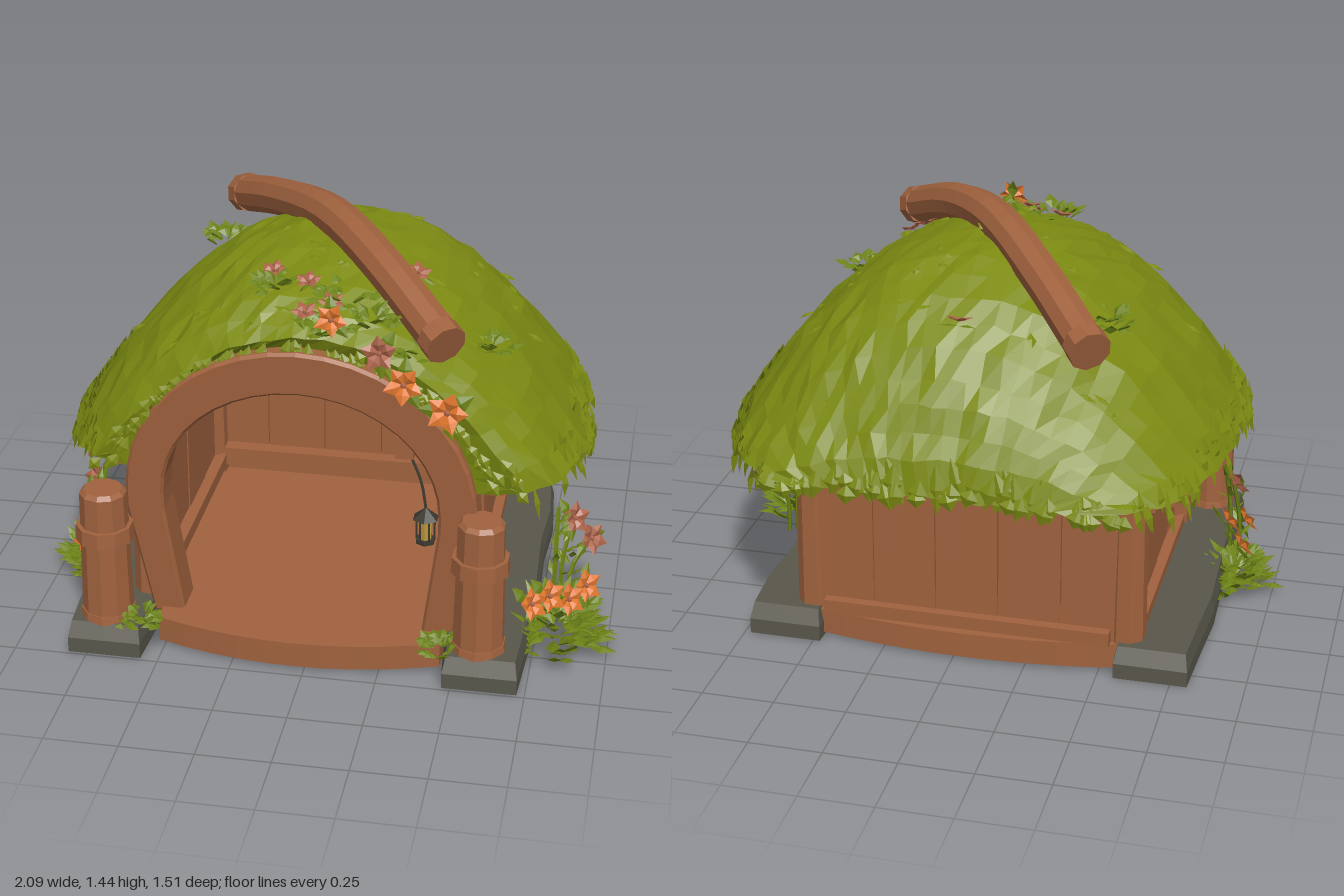
import * as THREE from 'three';

const mat = (name, color, side = THREE.DoubleSide) =>
  Object.assign(new THREE.MeshStandardMaterial({ color, side, flatShading: true }), { name });
const V = (x, y, z) => new THREE.Vector3(x, y, z);

export function createModel() {
  const model = new THREE.Group();
  const M = {
    wood: mat('wood', 0xa0623e), moss: mat('moss', 0x7c8a12), leaf: mat('leaf', 0x6c8216),
    stone: mat('stone', 0x59574b), orange: mat('orange petal', 0xe0762e),
    rose: mat('rose petal', 0xaa6248), iron: mat('iron', 0x3c3830), glow: mat('lantern glass', 0xc09a3a),
  };
  let seed = 7;
  const rnd = (a = 0, b = 1) => {
    seed = (seed * 16807) % 2147483647;
    return a + (b - a) * seed / 2147483647;
  };
  const add = (name, geo, m, x = 0, y = 0, z = 0, parent = model) => {
    const mesh = new THREE.Mesh(geo, m);
    mesh.name = name;
    mesh.position.set(x, y, z);
    parent.add(mesh);
    return mesh;
  };
  const box = (name, w, h, d, x, y, z, m = M.wood) => add(name, new THREE.BoxGeometry(w, h, d), m, x, y, z);
  const fromTriangles = (pts) => {
    const g = new THREE.BufferGeometry().setFromPoints(pts);
    g.computeVertexNormals();
    return g;
  };
  // surface through rows of points
  const skin = (rows) => {
    const t = [];
    for (let i = 0; i + 1 < rows.length; i++) for (let j = 0; j + 1 < rows[i].length; j++) {
      const a = rows[i][j], b = rows[i][j + 1], c = rows[i + 1][j + 1], d = rows[i + 1][j];
      t.push(a, b, c, a, c, d);
    }
    return fromTriangles(t);
  };
  // one folded leaf or petal
  const blade = (out, p, dir, nrm, len, w) => {
    dir = dir.clone().normalize();
    const side = dir.clone().cross(nrm).normalize().multiplyScalar(w);
    const up = side.clone().cross(dir).normalize().multiplyScalar(w * 0.4);
    const mid = p.clone().addScaledVector(dir, len * 0.5), tip = p.clone().addScaledVector(dir, len);
    const l = mid.clone().sub(side), r = mid.clone().add(side), c = mid.clone().add(up);
    out.push(p, r, c, p, c, l, c, r, tip, c, tip, l);
  };

  // ---- thatched roof: arched sections from front to back [z, half width, ridge height]
  const E = 0.68, N = 28;
  const sections = [[0.6, 0.72, 1.18], [0.52, 0.8, 1.24], [0.4, 0.85, 1.29], [0.2, 0.88, 1.33], [0, 0.87, 1.345],
    [-0.2, 0.86, 1.33], [-0.38, 0.82, 1.25], [-0.52, 0.77, 1.12], [-0.63, 0.7, 0.96], [-0.71, 0.62, 0.8], [-0.74, 0.5, E]];
  const roofPoint = (z, u, inset = 0) => {
    let k = 0;
    while (k < sections.length - 2 && sections[k + 1][0] > z) k++;
    const [a, b] = [sections[k], sections[k + 1]];
    const t = THREE.MathUtils.clamp((a[0] - z) / (a[0] - b[0]), 0, 1);
    const W = a[1] + (b[1] - a[1]) * t - inset, H = Math.max(E, a[2] + (b[2] - a[2]) * t - inset);
    return V(u * W, E + (H - E) * (1 - Math.abs(u) ** 2.1), z);
  };
  const cx = -0.035;
  const archPoint = (u, z) => {
    const a = Math.PI / 2 - u * 1.38;
    return V(cx + 0.6 * Math.cos(a), 0.54 + 0.585 * Math.sin(a), z);
  };
  const span = Array.from({ length: N + 1 }, (_, j) => j / N * 2 - 1);
  const shake = (p, s) => p.add(V(rnd(-s, s), rnd(-s, s), rnd(-s, s)));
  const zs = [0.6, 0.56, 0.52, 0.46, 0.4, 0.3, 0.2, 0.1, 0, -0.1, -0.2, -0.29, -0.38, -0.45, -0.52, -0.58, -0.63, -0.67, -0.71, -0.74];
  const rim = (row, s = 0.05) => [row[0].clone().add(V(s, 0.015, 0)), ...row, row[N].clone().add(V(-s, 0.015, 0))];
  const outer = zs.map(z => rim(span.map(u => shake(roofPoint(z, u), 0.009))));
  const frontLip = rim(span.map(u => archPoint(u, 0.57)), 0);
  const backLip = rim(span.map(u => V(u * 0.46, E + 0.02, -0.68)));
  add('mossRoof', skin([frontLip, ...outer, backLip]), M.moss);
  add('roofLining', skin([0.56, 0.4, 0.2, 0, -0.2, -0.38, -0.52, -0.6, -0.66, -0.7]
    .map(z => span.map(u => roofPoint(z, u, 0.05).add(V(0, 0.005, 0))).reverse())), M.wood);

  // leafy fringe round the eaves and over the arch, plus loose tufts
  const fringe = [];
  for (let i = 0; i < 150; i++) {
    const s = i % 2 ? 1 : -1, z = rnd(-0.73, 0.6);
    blade(fringe, roofPoint(z, s * rnd(0.9, 0.99)).add(V(s * 0.015, 0.01, 0)),
      V(s * rnd(0.1, 0.4), -1, rnd(-0.4, 0.4)), V(s, 0.4, 0), rnd(0.08, 0.13), rnd(0.02, 0.04));
  }
  for (let i = 0; i < 60; i++) {
    const p = roofPoint(rnd(-0.735, -0.7), rnd(-1, 1)).add(V(0, 0, -0.008));
    blade(fringe, p, V(rnd(-0.4, 0.4), -1, -0.1), V(0, 0.3, -1), Math.max(0.06, p.y - rnd(0.62, 0.67)), 0.035);
  }
  for (let i = 0; i < 90; i++) {
    const u = rnd(-1, 1), p = archPoint(u, 0.6).lerp(roofPoint(0.6, u), rnd(0.35, 1));
    blade(fringe, p, V(u * 0.8 + rnd(-0.3, 0.3), -0.8, 0.15), V(0, 0.2, 1), rnd(0.05, 0.09), 0.022);
  }
  for (let i = 0; i < 60; i++) {
    const u = rnd(-0.75, 0.75);
    blade(fringe, roofPoint(rnd(-0.6, 0.55), u).add(V(0, 0.004, 0)), V(u + rnd(-0.5, 0.5), 0.1 - Math.abs(u), rnd(-0.6, 0.6)),
      V(u, 1, 0), rnd(0.04, 0.08), 0.018);
  }
  add('roofFringe', fromTriangles(fringe), M.moss);

  // ---- bent ridge log with end caps
  const ridge = new THREE.CatmullRomCurve3([V(-0.45, 1.2, -0.59), V(-0.25, 1.3, -0.31), V(-0.01, 1.372, 0.03),
    V(0.2, 1.33, 0.32), V(0.43, 1.21, 0.6)]);
  add('ridgeLog', new THREE.TubeGeometry(ridge, 16, 0.068, 9), M.wood);
  for (const t of [0, 1]) {
    const cap = add('ridgeLogEnd', new THREE.CylinderGeometry(0.072, 0.072, 0.06, 9), M.wood, ...ridge.getPoint(t).toArray());
    cap.quaternion.setFromUnitVectors(V(0, 1, 0), ridge.getTangent(t));
  }

  // ---- doorway arch, leaning slightly forward
  const archShape = (hw, foot, top) => {
    const pts = [[cx - foot, 0.09], [cx - hw, 0.5]];
    for (let i = 0; i <= 20; i++) {
      const a = Math.PI * (1 - i / 20);
      pts.push([cx + hw * Math.cos(a), 0.56 + (top - 0.56) * Math.sin(a)]);
    }
    pts.push([cx + hw, 0.5], [cx + foot, 0.09]);
    return pts.map(p => new THREE.Vector2(...p));
  };
  const arch = new THREE.ExtrudeGeometry(new THREE.Shape([...archShape(0.585, 0.51, 1.125), ...archShape(0.475, 0.42, 0.99).reverse()]),
    { depth: 0.12, bevelEnabled: true, bevelSize: 0.01, bevelThickness: 0.012, bevelSegments: 1 });
  const ap = arch.attributes.position;
  for (let i = 0; i < ap.count; i++) ap.setZ(i, ap.getZ(i) + 0.42 + ap.getY(i) * 0.07);
  add('doorArch', arch, M.wood);

  // ---- floor with bowed front and back
  const plan = new THREE.Shape();
  plan.moveTo(-0.52, -0.63);
  plan.quadraticCurveTo(cx, -0.8, 0.45, -0.63);
  plan.lineTo(0.5, 0.53);
  plan.quadraticCurveTo(cx, 0.64, -0.57, 0.53);
  add('floor', new THREE.ExtrudeGeometry(plan, { depth: 0.09, bevelEnabled: false, curveSegments: 10 }).rotateX(-Math.PI / 2), M.wood, 0, 0.012, 0);

  // ---- walls of upright planks, with posts and rails
  const xs = [-0.6, 0.53];
  for (const x of xs) {
    const s = Math.sign(x);
    for (let i = 0; i < 4; i++) box('sidePlank', 0.035 + rnd(0, 0.008), 0.62, 0.242, x - s * 0.02, 0.4, 0.37 - i * 0.246);
    for (const z of [0.44, -0.47]) {
      const post = add('cornerPost', new THREE.CylinderGeometry(0.058, 0.065, 0.6, 8), M.wood, x - s * 0.015, 0.38, z);
      post.rotation.y = 0.3;
    }
    box('slimPost', 0.05, 0.56, 0.04, x, 0.38, -0.37);
    box('wallPlate', 0.09, 0.06, 1.12, x + s * 0.04, 0.665, -0.02);
    box('sillRail', 0.07, 0.045, 0.95, x, 0.125, -0.02);
    box('innerRail', 0.06, 0.05, 0.9, x - s * 0.05, 0.16, 0);
    for (const z of [0.46, -0.48]) box('eaveBeam', 0.2, 0.05, 0.07, x + s * 0.08, 0.655, z);
    const brace = box('brace', 0.03, 0.035, 0.26, x, 0.59, -0.24);
    brace.rotation.x = -0.45;
  }
  for (let i = 0; i < 5; i++) box('backPlank', 0.214, 0.72, 0.035 + rnd(0, 0.008), cx - 0.436 + i * 0.218, 0.46, -0.5);
  box('backSill', 1.0, 0.05, 0.07, cx, 0.125, -0.52);
  box('backRail', 0.98, 0.07, 0.09, cx, 0.18, -0.47);
  box('backPlate', 1.2, 0.06, 0.1, cx, 0.67, -0.53);
  box('innerLintel', 0.62, 0.05, 0.06, cx, 0.85, -0.46);

  // ---- foundation stones, tapered upward
  for (const [x, w] of [[-0.685, 0.28], [0.6, 0.28]]) {
    const g = new THREE.BoxGeometry(w, 0.11, 1.32, 2, 2, 6), p = g.attributes.position;
    for (let i = 0; i < p.count; i++) {
      const k = (p.getY(i) > 0.03 ? 0.92 : 1), end = Math.abs(p.getZ(i)) > 0.6 ? 0.9 : 1;
      p.setXYZ(i, p.getX(i) * k * end + Math.sin(p.getZ(i) * 9) * 0.008, p.getY(i), p.getZ(i) * (k + 1) / 2);
    }
    add('foundationStone', g, M.stone, x, 0.055, 0.08);
  }

  // ---- front gate posts with bands
  for (const x of [-0.695, 0.58]) {
    add('frontPost', new THREE.CylinderGeometry(0.08, 0.088, 0.46, 10), M.wood, x, 0.345, 0.63);
    add('postTop', new THREE.CylinderGeometry(0.066, 0.08, 0.015, 10), M.wood, x, 0.582, 0.63);
    add('postBand', new THREE.CylinderGeometry(0.097, 0.1, 0.055, 10), M.wood, x, 0.43, 0.63);
    add('postFoot', new THREE.CylinderGeometry(0.092, 0.096, 0.03, 10), M.wood, x, 0.12, 0.63);
  }

  // ---- hanging lantern
  const lantern = new THREE.Group();
  lantern.name = 'lantern';
  lantern.position.set(0.39, 0.52, 0.59);
  model.add(lantern);
  add('lanternGlass', new THREE.CylinderGeometry(0.026, 0.022, 0.075, 6), M.glow, 0, 0, 0, lantern);
  add('lanternRoof', new THREE.ConeGeometry(0.046, 0.04, 6), M.iron, 0, 0.058, 0, lantern);
  add('lanternBase', new THREE.CylinderGeometry(0.034, 0.034, 0.014, 6), M.iron, 0, -0.045, 0, lantern);
  for (let i = 0; i < 6; i++) add('lanternBar', new THREE.BoxGeometry(0.006, 0.08, 0.006), M.iron,
    0.03 * Math.cos(i * Math.PI / 3), 0, 0.03 * Math.sin(i * Math.PI / 3), lantern);
  add('lanternCord', new THREE.TubeGeometry(new THREE.CatmullRomCurve3([V(0, 0.07, 0), V(-0.02, 0.16, -0.02), V(-0.07, 0.26, -0.05)]), 6, 0.005, 5), M.iron, 0, 0, 0, lantern);
  box('lanternPeg', 0.06, 0.08, 0.07, 0.31, 0.79, 0.52);

  // ---- plants
  const leaves = [], petals = { orange: [], rose: [] };
  const flower = (x, y, z, n, size, kind = 'orange') => {
    const p = V(x, y, z), q = new THREE.Quaternion().setFromUnitVectors(V(0, 0, 1), n.clone().normalize());
    const turn = rnd(0, 6);
    for (let i = 0; i < 5; i++) {
      const a = turn + i * Math.PI * 0.4;
      blade(petals[kind], p, V(Math.cos(a), Math.sin(a), 0.35).applyQuaternion(q), n, size, size * 0.36);
      if (i % 2) blade(leaves, p.clone().addScaledVector(n, -0.015), V(Math.cos(a + 0.6), Math.sin(a + 0.6), 0).applyQuaternion(q), n, size * 1.35, size * 0.35);
    }
    add('flowerHeart', new THREE.IcosahedronGeometry(size * 0.16), M.rose, ...p.clone().addScaledVector(n, 0.008).toArray());
  };
  const bush = (x, y, z, rx, rz, h, n) => {
    for (let i = 0; i < n; i++) {
      const a = rnd(0, Math.PI * 2), r = rnd(0.1, 0.65), lift = rnd(0.15, 1);
      const d = V(Math.cos(a) * rx, 0, Math.sin(a) * rz);
      blade(leaves, V(x + d.x * r, y + h * lift * (1 - r) * 0.7, z + d.z * r),
        V(Math.cos(a), rnd(0, 1.1), Math.sin(a)), V(0, 1, 0.05), rnd(0.55, 0.9) * Math.min(rx, rz) * 0.75, 0.024);
    }
  };
  bush(0.82, 0, 0.37, 0.19, 0.26, 0.2, 150);
  bush(-0.86, 0, 0.17, 0.15, 0.22, 0.2, 130);
  bush(-0.57, 0.09, 0.67, 0.1, 0.08, 0.09, 40);
  bush(0.45, 0.09, 0.67, 0.1, 0.08, 0.09, 40);
  const F = V(0, 0.25, 0.97), O = V(0.7, 0.4, 0.6), L = V(-0.7, 0.4, 0.6);
  [[0.08, 1.26, 0.62], [0.24, 1.17, 0.65], [0.32, 1.07, 0.66], [0.46, 0.98, 0.65]].forEach((p, i) => flower(...p, F, 0.06 + i * 0.005, i === 1 ? 'rose' : 'orange'));
  for (const [x, z] of [[-0.16, 0.35], [-0.03, 0.42], [-0.02, 0.54], [0.06, 0.5], [0.3, 0.22], [0.4, 0.4], [0, -0.46]])
    flower(x, roofPoint(z, x / 0.85).y + 0.015, z, V(x, 1, 0.3).normalize(), 0.05, 'rose');
  for (const [x, z] of [[-0.12, 0.42], [0.05, 0.56], [0.2, 0.52], [-0.45, -0.25], [0.55, 0.3], [0.1, 0.45], [0.35, 0.55]])
    bush(x, roofPoint(z, x / 0.85).y - 0.01, z, 0.11, 0.11, 0.05, 22);
  for (const p of [[0.74, 0.21, 0.5], [0.86, 0.2, 0.43], [0.91, 0.2, 0.33], [0.8, 0.26, 0.52]]) flower(...p, O, 0.065);
  for (const p of [[-0.88, 0.2, 0.1], [-0.87, 0.2, 0.3], [-0.82, 0.24, 0.2]]) flower(...p, L, 0.06);
  for (const [x, y, z, bx, n] of [[0.85, 0.36, 0.15, 0.82, O], [0.91, 0.28, 0.14, 0.85, O], [0.8, 0.44, 0.23, 0.8, O],
    [-0.84, 0.39, 0.2, -0.86, L], [-0.8, 0.44, 0.24, -0.82, L]]) {
    add('stem', new THREE.TubeGeometry(new THREE.CatmullRomCurve3([V(bx, 0, z + 0.06), V(bx, y * 0.6, z + 0.04), V(x, y, z)]), 6, 0.008, 5), M.leaf);
    if (y < 0.42) flower(x, y, z, n, 0.065, 'rose');
    for (let i = 1; i < 6; i++) blade(leaves, V(bx, y * (0.3 + i * 0.12), z + 0.04), V(rnd(-1, 1), 0.8, rnd(-1, 1)), V(0, 1, 0.1), 0.07, 0.014);
  }
  add('leaves', fromTriangles(leaves), M.leaf);
  add('orangePetals', fromTriangles(petals.orange), M.orange);
  add('rosePetals', fromTriangles(petals.rose), M.rose);
  return model;
}
